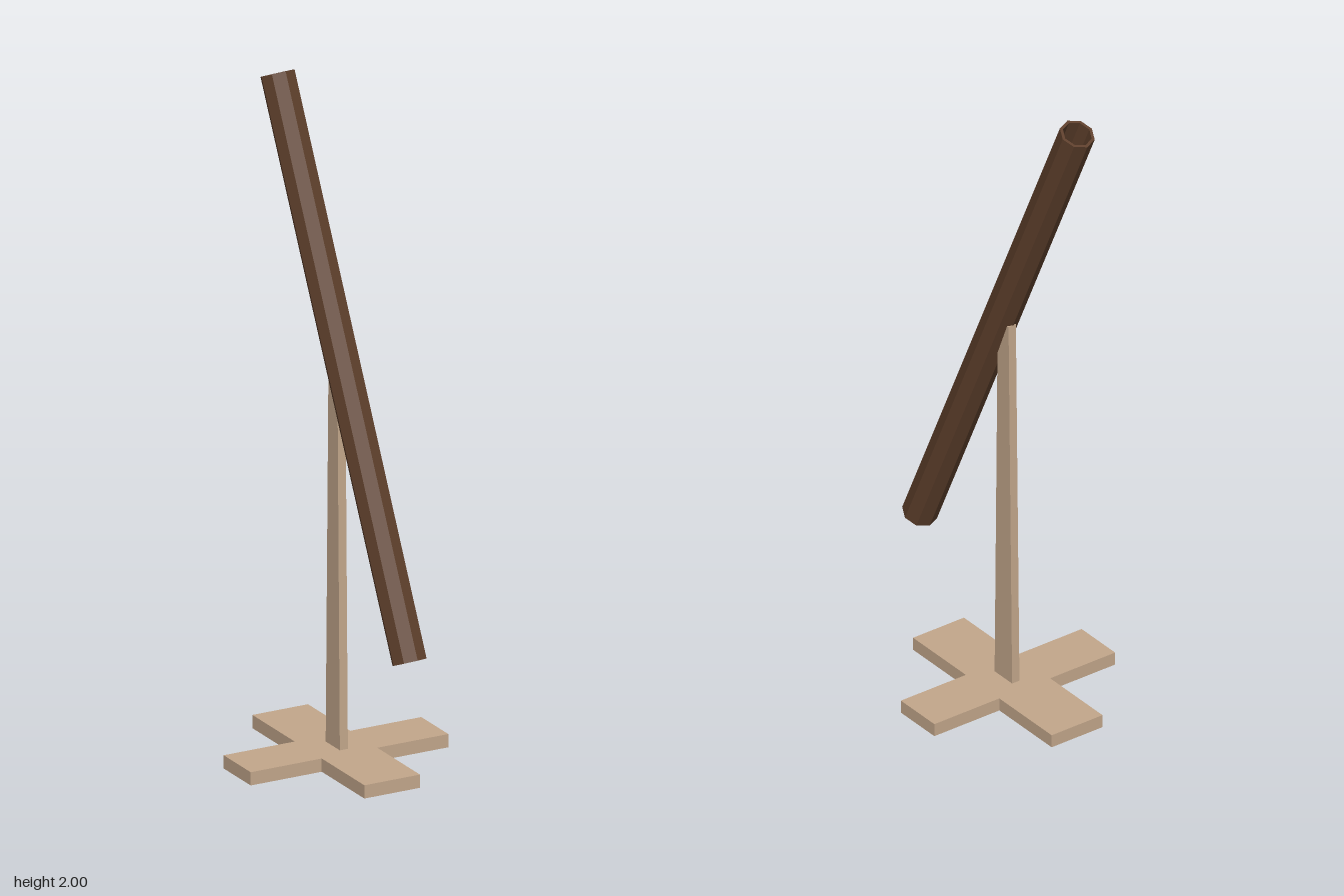
import * as THREE from 'three';

export function createModel() {
  const group = new THREE.Group();
  const tan = new THREE.MeshStandardMaterial({ color: 0xc4a88c });
  tan.name = 'paleWood';
  const brown = new THREE.MeshStandardMaterial({ color: 0x5f402c });
  brown.name = 'darkWood';

  const add = (name, geometry, material) => {
    const flat = geometry.index ? geometry.toNonIndexed() : geometry;
    flat.computeVertexNormals();
    const mesh = new THREE.Mesh(flat, material);
    mesh.name = name;
    group.add(mesh);
    return mesh;
  };

  // Cross-shaped foot, outlined in plan (x, -z) and raised along y
  const armX = 0.32, halfX = 0.09, back = 0.372, front = -0.282, armBack = 0.125, armFront = -0.033;
  const cross = new THREE.Shape([
    [-halfX, front], [halfX, front], [halfX, armFront], [armX, armFront],
    [armX, armBack], [halfX, armBack], [halfX, back], [-halfX, back],
    [-halfX, armBack], [-armX, armBack], [-armX, armFront], [-halfX, armFront],
  ].map(([x, y]) => new THREE.Vector2(x, y)));
  const foot = new THREE.ExtrudeGeometry(cross, { depth: 0.04, bevelEnabled: false });
  foot.rotateX(-Math.PI / 2);
  add('crossFoot', foot, tan);

  // Thin post, tapering in depth towards the top
  const postSide = new THREE.Shape([
    [0, 0.03], [0.083, 0.03], [0.066, 1.22], [0.015, 1.22],
  ].map(([x, y]) => new THREE.Vector2(x, y)));
  const post = new THREE.ExtrudeGeometry(postSide, { depth: 0.026, bevelEnabled: false });
  post.translate(0, 0, -0.013);
  post.rotateY(Math.PI / 2);
  add('post', post, tan);

  // Hollow eight-sided tube leaning back across the post
  const bottom = new THREE.Vector3(0.027, 0.408, 0.335);
  const top = new THREE.Vector3(-0.03, 1.981, -0.333);
  const axis = top.clone().sub(bottom);
  const half = axis.length() / 2, outer = 0.052, inner = 0.043;
  const profile = [
    [inner, -half], [outer, -half], [outer, half], [inner, half], [inner, -half],
  ].map(([r, y]) => new THREE.Vector2(r, y));
  const tube = add('hollowTube', new THREE.LatheGeometry(profile, 8), brown);
  tube.position.copy(bottom).add(top).multiplyScalar(0.5);
  tube.quaternion.setFromUnitVectors(new THREE.Vector3(0, 1, 0), axis.normalize());

  return group;
}
